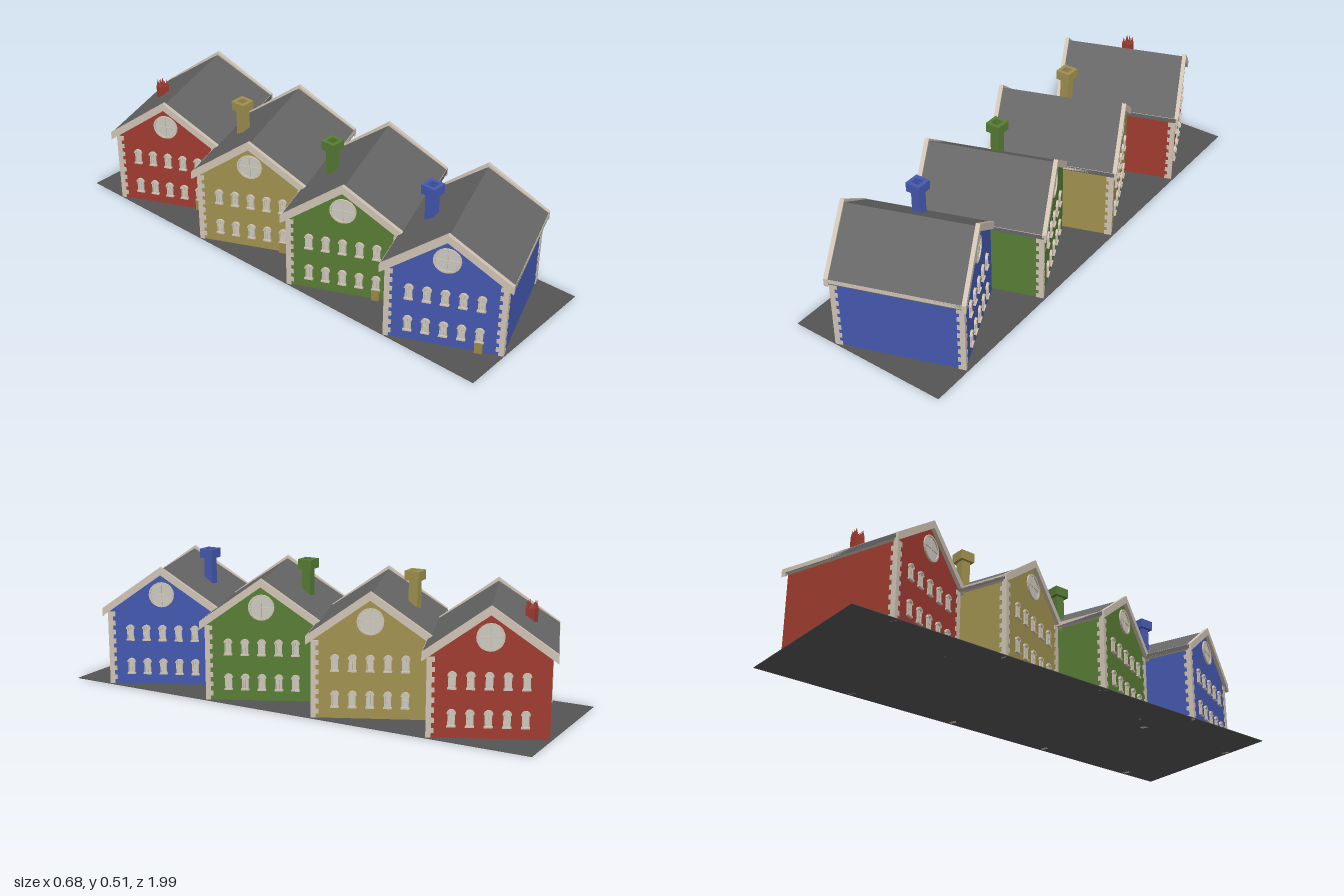
import * as THREE from 'three';
import { mergeGeometries } from 'three/addons/utils/BufferGeometryUtils.js';

const mat = (color) => new THREE.MeshStandardMaterial({ color, flatShading: true });
const TRIM = mat(0xcfc3b3), ROOF = mat(0x666666), GLASS = mat(0xcacac2);
const DOOR = mat(0x9a8848), GROUND = mat(0x555555);

// Wall length and width along the house's own skewed axes
const L = 0.483, W = 0.43, ROOF_L = 0.512, ROOF_W = 0.471;
const SKEW = new THREE.Matrix4().makeBasis(
  new THREE.Vector3(0.944, 0, -0.331),
  new THREE.Vector3(0, 1, 0),
  new THREE.Vector3(0.419, 0, 0.908));

const box = (w, h, d, x, y, z) => new THREE.BoxGeometry(w, h, d).translate(x, y, z);

function extrude(shape, depth) {
  return new THREE.ExtrudeGeometry(shape, { depth, bevelEnabled: false, curveSegments: 10 });
}

// Extrude a gable profile along the ridge, centred on x
function alongRidge(points, length, x = 0) {
  const shape = new THREE.Shape(points.map(([a, b]) => new THREE.Vector2(a, b)));
  return extrude(shape, length).translate(0, 0, -length / 2).rotateY(Math.PI / 2).translate(x, 0, 0);
}

// Upside-down V profile
function chevron(half, eave, apex, t) {
  return [[-half, eave - t], [0, apex - t], [half, eave - t], [half, eave], [0, apex], [-half, eave]];
}

// Window outline with a round arched top
function archPath(P, w, y0, spring) {
  const p = new P();
  p.moveTo(-w, y0);
  p.lineTo(w, y0);
  p.lineTo(w, spring);
  p.absarc(0, spring, w, 0, Math.PI, false);
  p.lineTo(-w, y0);
  return p;
}

// Arched window parts, facing +z, base at y = 0
function archedFrame() {
  const frame = archPath(THREE.Shape, 0.013, 0, 0.047);
  frame.holes.push(archPath(THREE.Path, 0.0085, 0.005, 0.047));
  const hood = new THREE.Shape();
  hood.absarc(0, 0.047, 0.0165, 0, Math.PI, false);
  hood.absarc(0, 0.047, 0.0105, Math.PI, 0, true);
  return mergeGeometries([
    extrude(frame, 0.006), extrude(hood, 0.009),
    extrude(archPath(THREE.Shape, 0.0012, 0.003, 0.053), 0.004),
    box(0.032, 0.006, 0.011, 0, 0.002, 0.0045).toNonIndexed(),
    box(0.017, 0.002, 0.004, 0, 0.03, 0.002).toNonIndexed()]);
}
const archedGlass = () => extrude(archPath(THREE.Shape, 0.0095, 0.004, 0.047), 0.002);

// Round gable window parts, facing +z, centred
function roundFrame() {
  const ring = new THREE.Shape().absarc(0, 0, 0.05, 0, Math.PI * 2, false);
  ring.holes.push(new THREE.Path().absarc(0, 0, 0.043, 0, Math.PI * 2, true));
  return mergeGeometries([
    extrude(ring, 0.007),
    box(0.088, 0.004, 0.005, 0, 0, 0.0025).toNonIndexed(),
    box(0.004, 0.088, 0.005, 0, 0, 0.0025).toNonIndexed()]);
}
const roundGlass = () => new THREE.CylinderGeometry(0.045, 0.045, 0.002, 32)
  .rotateX(Math.PI / 2).translate(0, 0, 0.001);

// Alternating corner stones at one corner
function quoins(sx, sz) {
  const n = 16, h = 0.295 / n, out = 0.003, parts = [];
  for (let i = 0; i < n; i++) {
    const a = i % 2 ? 0.016 : 0.026, b = i % 2 ? 0.026 : 0.016;
    parts.push(box(a + out, h, b + out,
      sx * (L / 2 + out - (a + out) / 2), h * (i + 0.5), sz * (W / 2 + out - (b + out) / 2)));
  }
  return mergeGeometries(parts);
}

// Square tube standing upright
function squareTube(outer, inner, y0, y1) {
  const s = (P, r) => new P([[-r, -r], [r, -r], [r, r], [-r, r]].map(([a, b]) => new THREE.Vector2(a, b)));
  const shape = s(THREE.Shape, outer);
  shape.holes.push(s(THREE.Path, inner));
  return extrude(shape, y1 - y0).rotateX(-Math.PI / 2).translate(0, y0, 0);
}

function chimney(material, broken) {
  const g = new THREE.Group();
  g.name = 'chimney';
  const add = (name, geo) => {
    const m = new THREE.Mesh(geo, material);
    m.name = name;
    g.add(m);
  };
  if (broken) {
    // Short stack with a jagged top
    add('chimneyStack', box(0.036, 0.12, 0.036, 0, 0.36, 0));
    for (const x of [-0.013, 0, 0.013]) for (const z of [-0.013, 0.013]) {
      add('chimneySpike', new THREE.ConeGeometry(0.007, 0.03, 4).rotateY(Math.PI / 4).translate(x, 0.433, z));
    }
  } else {
    add('chimneyStack', squareTube(0.018, 0.013, 0.3, 0.478));
    add('chimneyCap', squareTube(0.03, 0.016, 0.475, 0.512));
  }
  g.position.set(-0.058, 0, -0.118);
  return g;
}

function house(color, broken) {
  const g = new THREE.Group();
  const paint = mat(color);
  const add = (name, geo, material) => {
    const m = new THREE.Mesh(geo.applyMatrix4(SKEW), material);
    m.name = name;
    g.add(m);
  };
  const w = W / 2, r = ROOF_W / 2;

  // Walls and roof
  add('walls', alongRidge([[-w, 0.001], [w, 0.001], [w, 0.304], [0, 0.448], [-w, 0.304]], L), paint);
  add('roof', alongRidge(chevron(r, 0.31, 0.468, 0.018), ROOF_L - 0.02), ROOF);

  // Eaves and gable trim
  for (const s of [-1, 1]) {
    add('eaveTrim', box(ROOF_L, 0.016, 0.022, 0, 0.303, s * (r - 0.011)), TRIM);
    add('gableTrim', alongRidge(chevron(r, 0.312, 0.48, 0.032), 0.016, s * (ROOF_L / 2 - 0.008)), TRIM);
  }

  // Corner stones on three corners
  for (const [sx, sz] of [[-1, -1], [-1, 1], [1, 1]]) add('cornerStones', quoins(sx, sz), TRIM);

  // Windows on both gables
  for (const s of [-1, 1]) {
    const place = (geo, y, z) => geo.rotateY(s * Math.PI / 2).translate(s * L / 2, y, z);
    for (const y of [0.044, 0.181]) {
      for (let i = -2; i <= 2; i++) {
        add('windowFrame', place(archedFrame(), y, i * 0.0645), TRIM);
        add('windowGlass', place(archedGlass(), y, i * 0.0645), GLASS);
      }
    }
    add('roundWindowFrame', place(roundFrame(), 0.368, 0), TRIM);
    add('roundWindowGlass', place(roundGlass(), 0.368, 0), GLASS);
  }

  // Door on the left-hand gable
  add('door', box(0.012, 0.048, 0.028, -L / 2 - 0.006, 0.024, 0.129), DOOR);

  g.add(chimney(paint, broken));
  return g;
}

export function createModel() {
  const model = new THREE.Group();
  model.name = 'terraceOfHouses';

  const ground = new THREE.Mesh(box(0.65, 0.002, 1.955, 0.003, 0.001, 0), GROUND);
  ground.name = 'ground';
  model.add(ground);

  const houses = [['blueHouse', 0x4459b0], ['greenHouse', 0x587d35],
    ['yellowHouse', 0xa0914f], ['redHouse', 0xa03c30]];
  houses.forEach(([name, color], i) => {
    const h = house(color, i === 3);
    h.name = name;
    h.position.z = 0.698 - i * 0.465;
    model.add(h);
  });
  return model;
}
